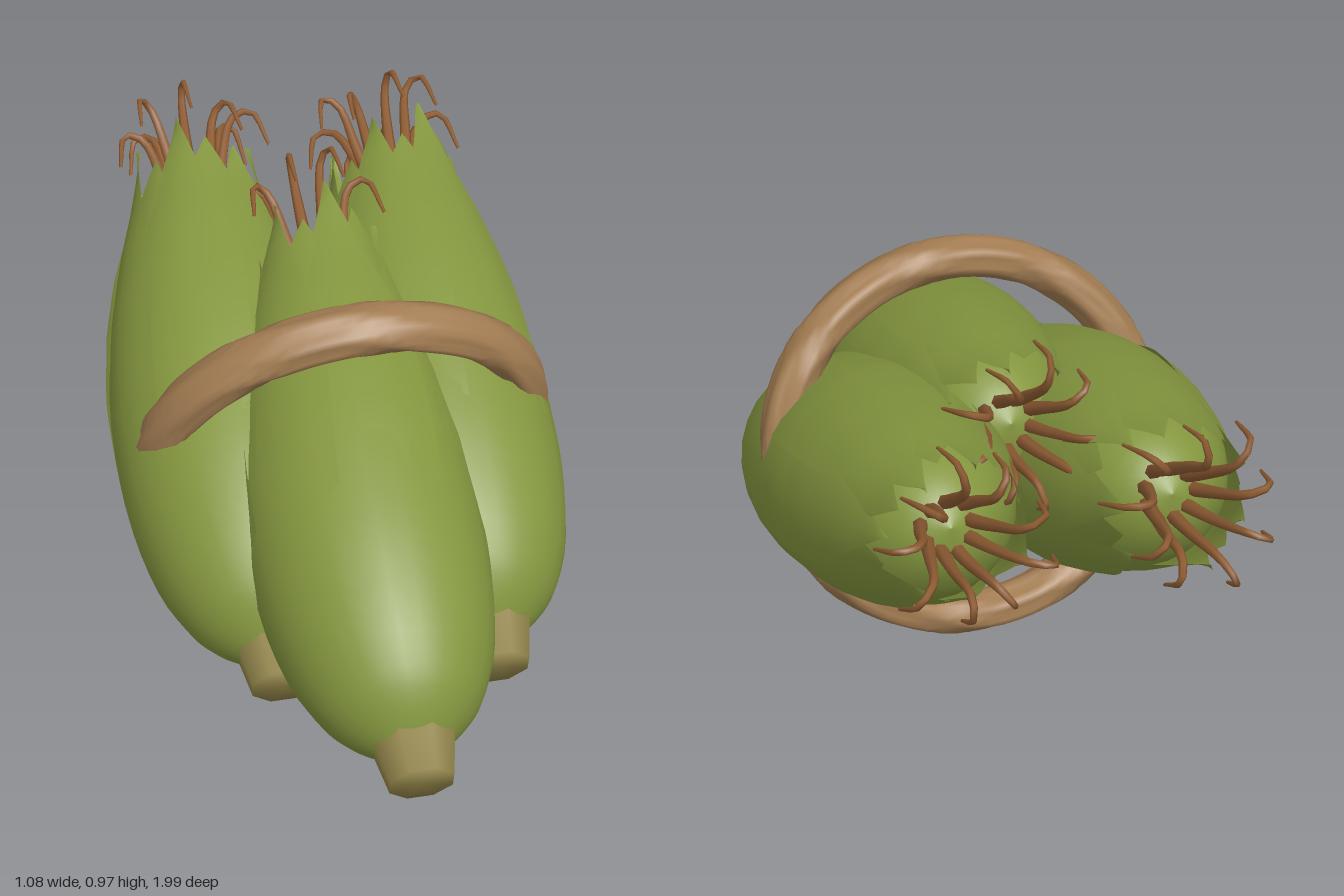
import * as THREE from 'three';
import { mergeVertices } from 'three/addons/utils/BufferGeometryUtils.js';

const mat = (name, color, side = THREE.FrontSide) => {
  const m = new THREE.MeshStandardMaterial({ color, side });
  m.name = name;
  return m;
};

const husk = mat('husk green', 0x84963f, THREE.DoubleSide);
const stalkTan = mat('stalk olive', 0x93854a);
const silkBrown = mat('silk brown', 0x8f5c33);
const ropeBrown = mat('rope brown', 0xa27c52);

const add = (parent, name, geometry, material) => {
  const mesh = new THREE.Mesh(geometry, material);
  mesh.name = name;
  parent.add(mesh);
  return mesh;
};

// radius of the husk wrapping, sampled along the cob axis
const outline = [[0.2, 0.19], [0.3, 0.236], [0.45, 0.27], [0.6, 0.282], [0.8, 0.28],
  [1.0, 0.257], [1.2, 0.217], [1.35, 0.178], [1.5, 0.15], [1.62, 0.14]];
function huskRadius(t) {
  let i = 0;
  while (i < outline.length - 2 && t > outline[i + 1][0]) i++;
  const [a, ra] = outline[i], [b, rb] = outline[i + 1];
  return ra + (rb - ra) * (t - a) / (b - a);
}

// slight sideways bow of the cob
const bow = t => -0.024 * Math.sin(Math.PI * Math.min(1, Math.max(0, t / 1.5)));

// closed inner body of the cob
function bodyGeometry() {
  const pts = [[0.09, 0.085], [0.115, 0.12], [0.15, 0.158], [0.2, 0.194], [0.3, 0.238], [0.45, 0.27], [0.6, 0.282],
    [0.8, 0.279], [1.0, 0.252], [1.2, 0.205], [1.3, 0.16], [1.38, 0.09], [1.42, 0]];
  const curve = new THREE.SplineCurve(pts.map(([t, r]) => new THREE.Vector2(r, t)));
  const smooth = curve.getPoints(32).map(p => new THREE.Vector2(Math.max(0, p.x), p.y));
  const geo = new THREE.LatheGeometry(smooth, 28);
  const pos = geo.attributes.position;
  for (let i = 0; i < pos.count; i++) pos.setX(i, pos.getX(i) + bow(pos.getY(i)));
  return geo;
}

// pointed leaf wrapped round the cob, one edge tucked under its neighbour
function leafGeometry(angle, start, end, lift) {
  const geo = new THREE.PlaneGeometry(1, 1, 8, 18);
  const pos = geo.attributes.position;
  for (let i = 0; i < pos.count; i++) {
    const x = pos.getX(i), s = pos.getY(i) + 0.5;
    const t = start + (end - start) * s;
    const taper = s < 0.55 ? 1 : 1 - Math.pow((s - 0.55) / 0.45, 1.5);
    const a = angle + 0.25 * (s - 0.5) + x * 1.3 * taper;
    const r = huskRadius(t) - 0.006 + lift * (x + 0.5) * Math.min(1, s * 2.5);
    pos.setXYZ(i, Math.sin(a) * r + bow(t), t, Math.cos(a) * r);
  }
  geo.computeVertexNormals();
  return geo;
}

// tapered, hooked silk strand
function silkGeometry(angle, reach, height) {
  const at = (r, t, twist = 0) =>
    new THREE.Vector3(Math.sin(angle + twist) * r, t, Math.cos(angle + twist) * r);
  const curve = new THREE.CatmullRomCurve3([
    at(0.04, 1.33), at(0.075, height - 0.17), at(reach * 0.62, height - 0.02, 0.1),
    at(reach * 0.85, height - 0.01, 0.15), at(reach, height - 0.12, 0.2)]);
  const rings = 14, sides = 6;
  const geo = new THREE.TubeGeometry(curve, rings, 0.02, sides);
  const pos = geo.attributes.position, v = new THREE.Vector3();
  for (let i = 0; i < pos.count; i++) {
    const u = Math.floor(i / (sides + 1)) / rings;
    const c = curve.getPointAt(u);
    v.fromBufferAttribute(pos, i).sub(c).multiplyScalar(1 - 0.8 * u).add(c);
    pos.setXYZ(i, v.x, v.y, v.z);
  }
  return geo;
}

// eight-sided stalk with a softly shaded cut end
function stalkGeometry() {
  const profile = [[0, 0], [0.078, 0], [0.11, 0.15]].map(([r, t]) => new THREE.Vector2(r, t));
  return new THREE.LatheGeometry(profile, 8, Math.PI / 8);
}

function cob(name, x, z, roll) {
  const g = new THREE.Group();
  g.name = name;
  add(g, 'stalk', stalkGeometry(), stalkTan);
  add(g, 'huskBody', bodyGeometry(), husk);

  // outer and inner layers of leaves
  const ends = [1.56, 1.46, 1.54, 1.42, 1.56, 1.48, 1.52];
  ends.forEach((end, i) => {
    const a = roll + i / ends.length * Math.PI * 2;
    add(g, 'outerLeaf', leafGeometry(a, 0.4, end, 0.014), husk);
    add(g, 'innerLeaf', leafGeometry(a + 0.45, 0.7, end - 0.07, 0.002), husk);
  });

  // silk tuft
  for (let i = 0; i < 9; i++) {
    const a = roll + 0.2 + i / 9 * Math.PI * 2;
    add(g, 'silk', silkGeometry(a, 0.175 + 0.015 * (i % 3), 1.675 - 0.03 * ((i * 2) % 3)), silkBrown);
  }

  g.quaternion.setFromUnitVectors(new THREE.Vector3(0, 1, 0),
    new THREE.Vector3(-0.045, 0.425, -1).normalize());
  g.position.set(x, 0.16, z);
  return g;
}

// twisted oval rope ring with lengthwise grooves
function ropeGeometry() {
  const around = 80, sides = 24;
  const geo = new THREE.TorusGeometry(1, 0.1, sides, around);
  const pos = geo.attributes.position;
  for (let j = 0; j <= sides; j++) {
    for (let i = 0; i <= around; i++) {
      const u = i / around * Math.PI * 2, v = j / sides * Math.PI * 2;
      const groove = 0.9 + 0.22 * Math.abs(Math.cos(3 * v + 4 * u + 0.5 * Math.sin(9 * u)));
      const out = 0.048 * groove * Math.cos(v);
      pos.setXYZ(j * (around + 1) + i, Math.cos(u) * (0.462 + out),
        Math.sin(u) * (0.438 + out), 0.06 * groove * Math.sin(v));
    }
  }
  geo.deleteAttribute('uv');
  geo.deleteAttribute('normal');
  const merged = mergeVertices(geo, 1e-5);
  merged.computeVertexNormals();
  return merged;
}

export function createModel() {
  const model = new THREE.Group();
  model.name = 'cornBundle';
  model.add(cob('middleCob', 0.065, 0.975, 0.1));
  model.add(cob('leftCob', 0.305, 0.605, 0.5));
  model.add(cob('rightCob', -0.2, 0.605, -0.35));

  const rope = add(model, 'ropeTie', ropeGeometry(), ropeBrown);
  rope.position.set(0.015, 0.458, 0.038);
  rope.rotation.set(0.385, 0.1, 0);
  return model;
}
